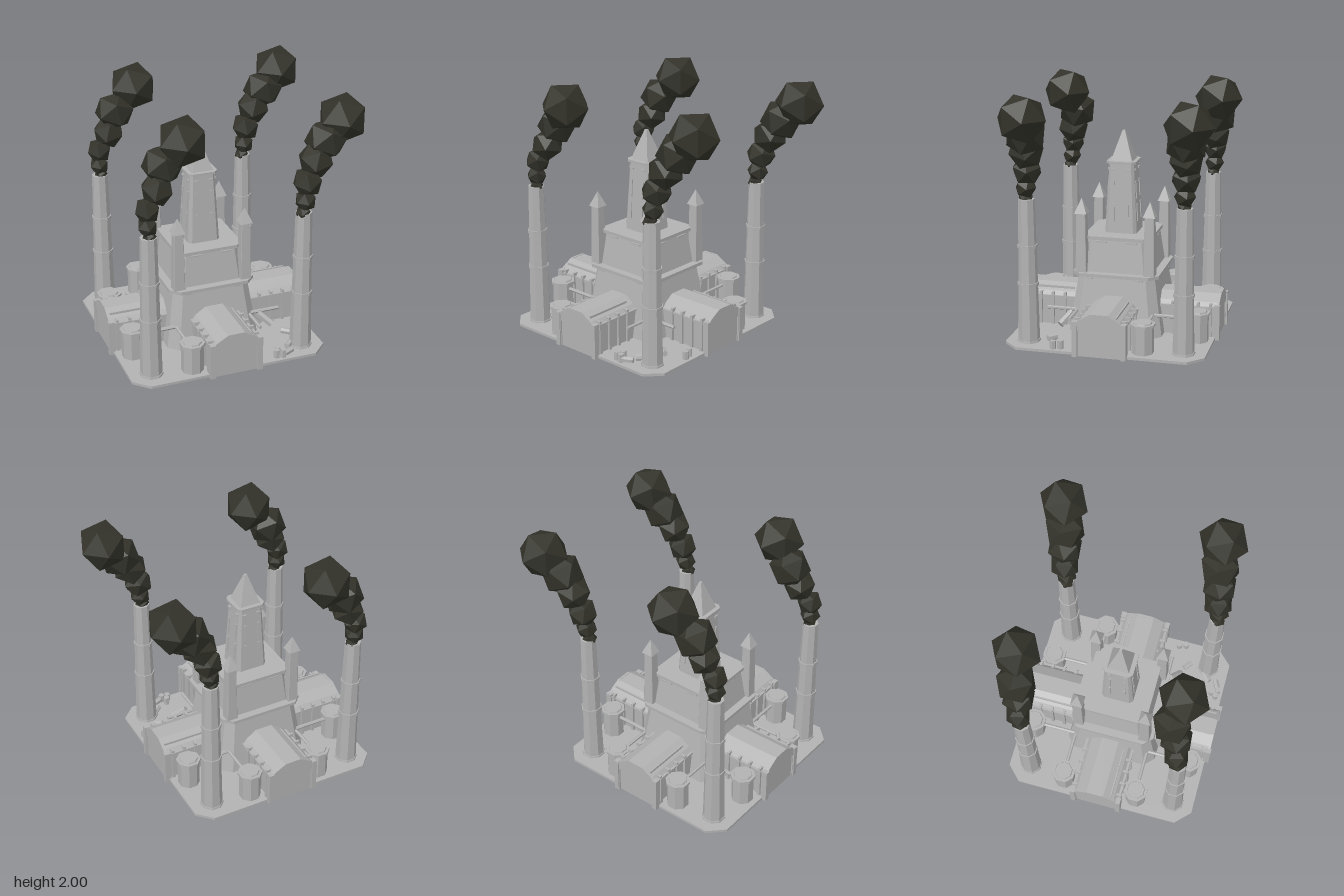
import * as THREE from 'three';

const stone = new THREE.MeshStandardMaterial({ color: 0xb2b2b2, flatShading: true });
stone.name = 'paleStone';
const soot = new THREE.MeshStandardMaterial({ color: 0x32322a, flatShading: true });
soot.name = 'darkSmoke';

function add(parent, name, geo, x = 0, y = 0, z = 0, mat = stone) {
  const m = new THREE.Mesh(geo, mat);
  m.name = name;
  m.position.set(x, y, z);
  parent.add(m);
  return m;
}
const box = (p, name, w, h, d, x, y, z) => add(p, name, new THREE.BoxGeometry(w, h, d), x, y, z);

// square block with cut corners, tapering from half width a to b between y0 and y1
function taper(p, name, a, b, cut, y0, y1, x = 0, z = 0) {
  const c = a - cut;
  const pts = [[-c, -a], [c, -a], [a, -c], [a, c], [c, a], [-c, a], [-a, c], [-a, -c]];
  const shape = new THREE.Shape(pts.map(q => new THREE.Vector2(...q)));
  const geo = new THREE.ExtrudeGeometry(shape, { depth: y1 - y0, bevelEnabled: false });
  geo.rotateX(-Math.PI / 2);
  const pos = geo.attributes.position;
  for (let i = 0; i < pos.count; i++) {
    const s = pos.getY(i) > (y1 - y0) / 2 ? b / a : 1;
    pos.setX(i, pos.getX(i) * s);
    pos.setZ(i, pos.getZ(i) * s);
  }
  geo.computeVertexNormals();
  return add(p, name, geo, x, y0, z);
}

// prism with n sides, a flat side facing front
function prism(p, name, r0, r1, y0, y1, x, z, n = 8) {
  const g = new THREE.CylinderGeometry(r1, r0, y1 - y0, n);
  g.rotateY(Math.PI / n);
  return add(p, name, g, x, (y0 + y1) / 2, z);
}

// straight pipe between two points
function pipe(p, name, a, b, r) {
  const A = new THREE.Vector3(...a), B = new THREE.Vector3(...b);
  const m = add(p, name, new THREE.CylinderGeometry(r, r, A.distanceTo(B), 6));
  m.position.copy(A).lerp(B, 0.5);
  m.quaternion.setFromUnitVectors(new THREE.Vector3(0, 1, 0), B.sub(A).normalize());
}

// arched hall running out along +z
function hall() {
  const g = new THREE.Group();
  g.name = 'hall';
  const prof = [[-0.19, 0], [0.19, 0], [0.19, 0.25], [0.155, 0.29], [0.07, 0.34], [-0.07, 0.34], [-0.155, 0.29], [-0.19, 0.25]];
  const shape = new THREE.Shape(prof.map(q => new THREE.Vector2(...q)));
  add(g, 'hallBody', new THREE.ExtrudeGeometry(shape, { depth: 0.55, bevelEnabled: false }), 0, 0.002, 0.245);
  // raised gable frame around the doorway
  const frame = new THREE.Shape([[-0.205, 0], [-0.165, 0], [-0.165, 0.21], [0.165, 0.21], [0.165, 0], [0.205, 0],
    [0.205, 0.255], [0.16, 0.29], [0.065, 0.345], [-0.065, 0.345], [-0.16, 0.29], [-0.205, 0.255]]
    .map(q => new THREE.Vector2(...q)));
  add(g, 'doorFrame', new THREE.ExtrudeGeometry(frame, { depth: 0.02, bevelEnabled: false }), 0, 0, 0.785);
  for (const s of [-1, 1]) {
    box(g, 'cornerPier', 0.04, 0.28, 0.05, s * 0.19, 0.14, 0.79);
    box(g, 'eave', 0.02, 0.015, 0.5, s * 0.19, 0.255, 0.54);
    for (let i = 0; i < 4; i++) {
      const z = 0.44 + i * 0.1;
      box(g, 'buttress', 0.03, 0.27, 0.025, s * 0.193, 0.135, z);
      box(g, 'roofBracket', 0.04, 0.04, 0.02, s * 0.183, 0.27, z);
    }
  }
  box(g, 'roofRail', 0.012, 0.02, 0.4, 0.125, 0.313, 0.58);
  // floor beams
  for (let i = 0; i < 4; i++) box(g, 'floorBeam', 0.38, 0.01, 0.015, 0, 0.005, 0.44 + i * 0.1);
  return g;
}

function chimney(p, x, z) {
  const g = new THREE.Group();
  g.name = 'chimney';
  g.position.set(x, 0, z);
  p.add(g);
  const R = y => 0.085 - 0.022 * y / 1.16;
  prism(g, 'chimneyShaft', R(0), R(1.16), 0.01, 1.16, 0, 0);
  for (const y of [0.49, 0.79]) prism(g, 'chimneyBand', R(y) + 0.008, R(y) + 0.008, y - 0.012, y + 0.012, 0, 0);
  prism(g, 'chimneyFoot', 0.095, 0.09, 0.01, 0.04, 0, 0);
}

// rising chain of puffs: x, y, z offset from chimney, radius
function smoke(p, x, z, puffs) {
  const g = new THREE.Group();
  g.name = 'smokePlume';
  g.position.set(x, 0, z);
  p.add(g);
  puffs.forEach(([px, py, pz, r], i) => {
    const last = i === puffs.length - 1;
    const m = add(g, 'smokePuff', new THREE.IcosahedronGeometry(r, 0), px, py, pz, soot);
    m.rotation.set(last ? 0 : i * 1.3, 0.5 + i * 0.7, last ? 0 : i * 0.9);
  });
}

function tower(p) {
  taper(p, 'lowerTier', 0.375, 0.305, 0.075, 0.02, 0.49);
  taper(p, 'lowerTrim', 0.345, 0.345, 0.07, 0.488, 0.514);
  taper(p, 'middleTier', 0.285, 0.25, 0.06, 0.51, 0.775);
  taper(p, 'middleTrim', 0.268, 0.268, 0.05, 0.77, 0.797);
  taper(p, 'spireShaft', 0.128, 0.098, 0.025, 0.79, 1.35);
  taper(p, 'spireTrim', 0.118, 0.118, 0.03, 1.348, 1.368);
  taper(p, 'spireRoof', 0.086, 0.01, 0.001, 1.366, 1.6);
  for (const sx of [-1, 1]) for (const sz of [-1, 1]) {
    taper(p, 'turretShaft', 0.044, 0.036, 0.004, 0.51, 0.99, sx * 0.272, sz * 0.272);
    taper(p, 'turretRoof', 0.049, 0.002, 0.0005, 0.985, 1.1, sx * 0.272, sz * 0.272);
  }
  // slits and vents on every face
  for (let k = 0; k < 4; k++) {
    const g = new THREE.Group();
    g.name = 'towerFaceDetails';
    g.rotation.y = k * Math.PI / 2;
    p.add(g);
    for (const s of [-1, 1]) {
      for (const y of [0.96, 1.14]) {
        const strip = box(g, 'spireRib', 0.018, 0.14, 0.016, s * 0.058, y, 0.128 - (y - 0.79) * 0.0536);
        strip.rotation.x = -0.0535;
      }
      box(g, 'spireBracket', 0.035, 0.015, 0.014, s * 0.06, 1.3, 0.104);
      box(g, 'tierVent', 0.09, 0.012, 0.014, s * 0.12, 0.755, 0.256);
      box(g, 'lowerVent', 0.05, 0.012, 0.014, s * 0.2, 0.47, 0.311);
    }
  }
}

function tank(p, x, z) {
  const g = new THREE.Group();
  g.name = 'storageTank';
  p.add(g);
  prism(g, 'tankBody', 0.086, 0.086, 0.02, 0.25, x, z);
  prism(g, 'tankRim', 0.098, 0.098, 0.238, 0.258, x, z);
  prism(g, 'tankLid', 0.076, 0.07, 0.255, 0.27, x, z);
  const end = Math.abs(x) > Math.abs(z) ? [Math.sign(x) * 0.3, 0.2, z] : [x, 0.2, Math.sign(z) * 0.3];
  pipe(g, 'tankPipe', [x, 0.2, z], end, 0.014);
}

export function createModel() {
  const model = new THREE.Group();
  model.name = 'factory';
  const root = new THREE.Group();
  root.name = 'works';
  root.position.set(-0.155, 0, 0.03);
  model.add(root);

  taper(root, 'basePlate', 0.783, 0.783, 0.115, 0.004, 0.025);
  tower(root);
  for (let k = 0; k < 4; k++) {
    const h = hall();
    h.rotation.y = k * Math.PI / 2;
    root.add(h);
  }
  for (const sx of [-1, 1]) for (const sz of [-1, 1]) {
    chimney(root, sx * 0.61, sz * 0.61);
    if (sx < 0 || sz < 0) {
      tank(root, sx * 0.658, sz * 0.305);
      tank(root, sx * 0.302, sz * 0.662);
    }
  }

  // broken pipes and scattered drums in the front left yard
  pipe(root, 'brokenPipe', [0.3, 0.2, 0.302], [0.555, 0.2, 0.302], 0.014);
  pipe(root, 'brokenPipe', [0.3, 0.2, 0.3], [0.3, 0.2, 0.55], 0.014);
  pipe(root, 'fallenPipe', [0.37, 0.2, 0.33], [0.46, 0.12, 0.4], 0.03);
  pipe(root, 'fallenDrum', [0.42, 0.05, 0.74], [0.5, 0.05, 0.7], 0.024);
  pipe(root, 'fallenDrum', [0.48, 0.05, 0.65], [0.55, 0.05, 0.58], 0.024);
  pipe(root, 'fallenDrum', [0.54, 0.05, 0.41], [0.6, 0.05, 0.46], 0.024);
  for (const [x, z] of [[0.725, 0.325], [0.74, 0.38], [0.36, 0.73], [0.41, 0.74], [0.385, 0.69]])
    prism(root, 'drum', 0.025, 0.025, 0.02, 0.09, x, z, 6);

  // plumes, each drifting towards +x
  const left = [[0.01, 1.155, 0, 0.055], [0, 1.24, -0.01, 0.08], [0.005, 1.36, -0.02, 0.1],
    [0.09, 1.5, -0.04, 0.13], [0.15, 1.66, -0.08, 0.16]];
  const right = [[-0.01, 1.155, 0.01, 0.06], [0.01, 1.25, 0, 0.085], [0.03, 1.39, -0.02, 0.12],
    [0.1, 1.55, -0.04, 0.14], [0.19, 1.69, -0.07, 0.165]];
  const lean = (list, dz) => list.map(([x, y, z, r]) => [x, y, z * dz, r]);
  smoke(root, -0.61, 0.61, [...lean(left, 1.3), [0.29, 1.833, -0.06, 0.195]]);
  smoke(root, -0.61, -0.61, [...lean(left, 0.6), [0.32, 1.833, -0.085, 0.195]]);
  smoke(root, 0.61, 0.61, [...lean(right, 0.9), [0.325, 1.833, -0.08, 0.195]]);
  smoke(root, 0.61, -0.61, [...lean(right, 0.6), [0.325, 1.833, -0.085, 0.195]]);
  return model;
}
